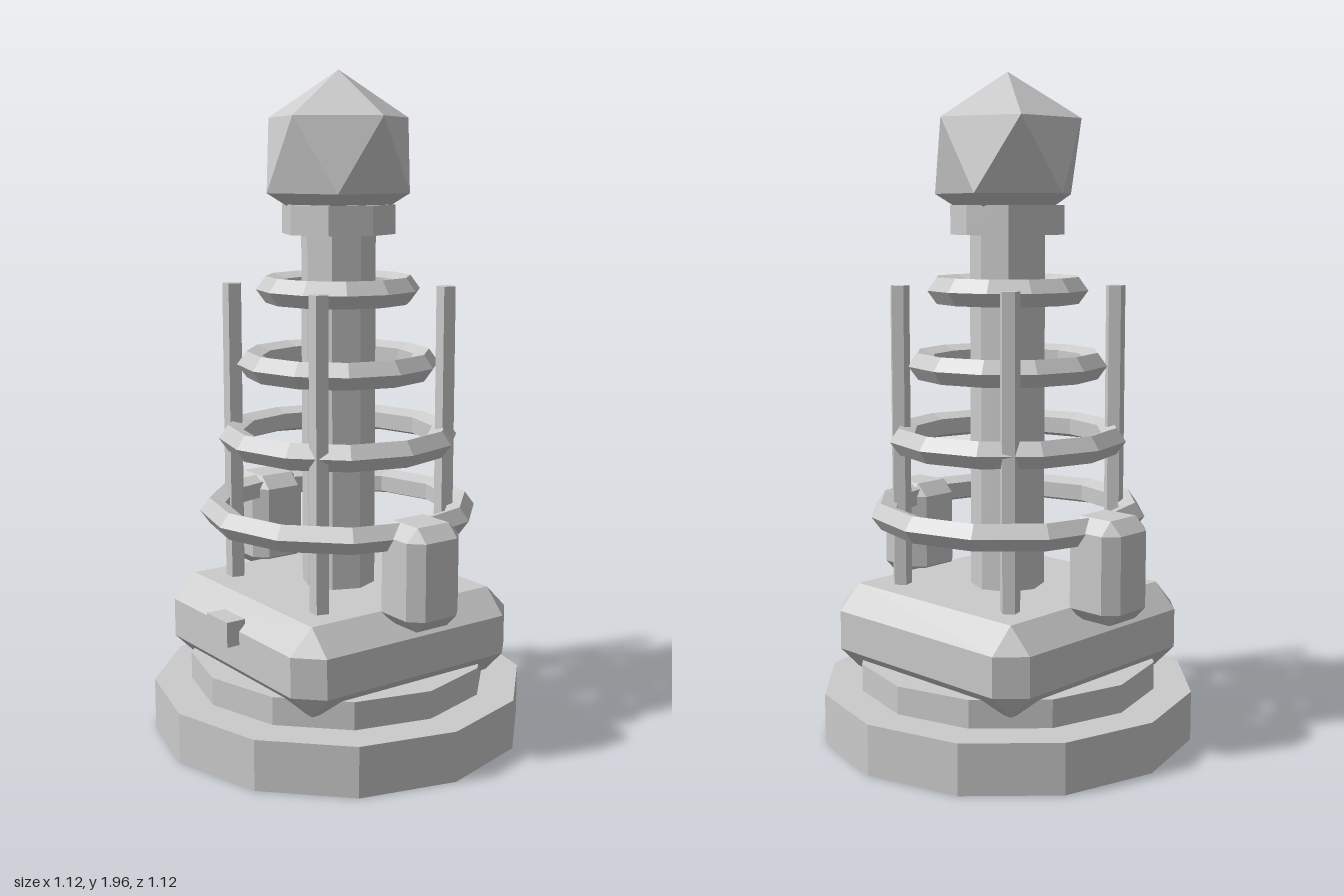
import * as THREE from 'three';
import { ConvexGeometry } from 'three/addons/geometries/ConvexGeometry.js';

const material = new THREE.MeshStandardMaterial({ color: 0xcccccc, flatShading: true });

// Box with every edge and corner cut off by the same amount
function chamferedBox(w, h, d, cut) {
  const points = [];
  for (const sx of [-1, 1]) for (const sy of [-1, 1]) for (const sz of [-1, 1]) {
    for (const axis of [0, 1, 2]) {
      const [x, y, z] = [w, h, d].map((s, i) => s / 2 - (i === axis ? 0 : cut));
      points.push(new THREE.Vector3(sx * x, sy * y, sz * z));
    }
  }
  return new ConvexGeometry(points);
}

export function createModel() {
  const model = new THREE.Group();
  model.name = 'coilTower';

  const add = (name, geometry, x, y, z) => {
    const mesh = new THREE.Mesh(geometry, material);
    mesh.name = name;
    mesh.position.set(x, y, z);
    model.add(mesh);
    return mesh;
  };
  // Upright prism given by its bottom and top heights
  const prism = (name, radius, y0, y1, sides, x = 0, z = 0) =>
    add(name, new THREE.CylinderGeometry(radius, radius, y1 - y0, sides), x, (y0 + y1) / 2, z);

  // Stepped twelve-sided foot
  prism('basePlate', 0.56, 0.045, 0.193, 12);
  prism('baseStep', 0.448, 0.193, 0.275, 12);

  // Chamfered housing with a small plate on the front
  add('housing', chamferedBox(0.78, 0.26, 0.78, 0.072), 0, 0.36, 0);
  add('frontPlate', new THREE.BoxGeometry(0.112, 0.074, 0.06), 0, 0.415, 0.4);

  // Central column and collar
  prism('column', 0.11, 0.45, 1.56, 8);
  prism('collar', 0.167, 1.535, 1.62, 8);

  // Faceted crystal, turned to stand on a vertex
  const crystal = new THREE.IcosahedronGeometry(0.24, 0);
  crystal.rotateZ(-Math.atan(2 / (1 + Math.sqrt(5))));
  add('crystal', crystal, 0, 1.76, 0);

  // Coil rings shrinking upwards
  for (let i = 0; i < 4; i++) {
    const ring = new THREE.TorusGeometry(0.373 - 0.0575 * i, 0.041, 5, 12);
    ring.rotateX(Math.PI / 2);
    add('coilRing', ring, 0, 0.716 + 0.2195 * i, 0);
  }

  // Corner rods and side pods
  for (const sx of [-1, 1]) {
    for (const sz of [-1, 1]) {
      prism('cornerRod', 0.03, 0.45, 1.387, 5, sx * 0.225, sz * 0.225).rotation.y = Math.PI;
    }
    add(sx > 0 ? 'leftPod' : 'rightPod', chamferedBox(0.186, 0.298, 0.186, 0.038), sx * 0.392, 0.607, 0);
  }

  return model;
}
